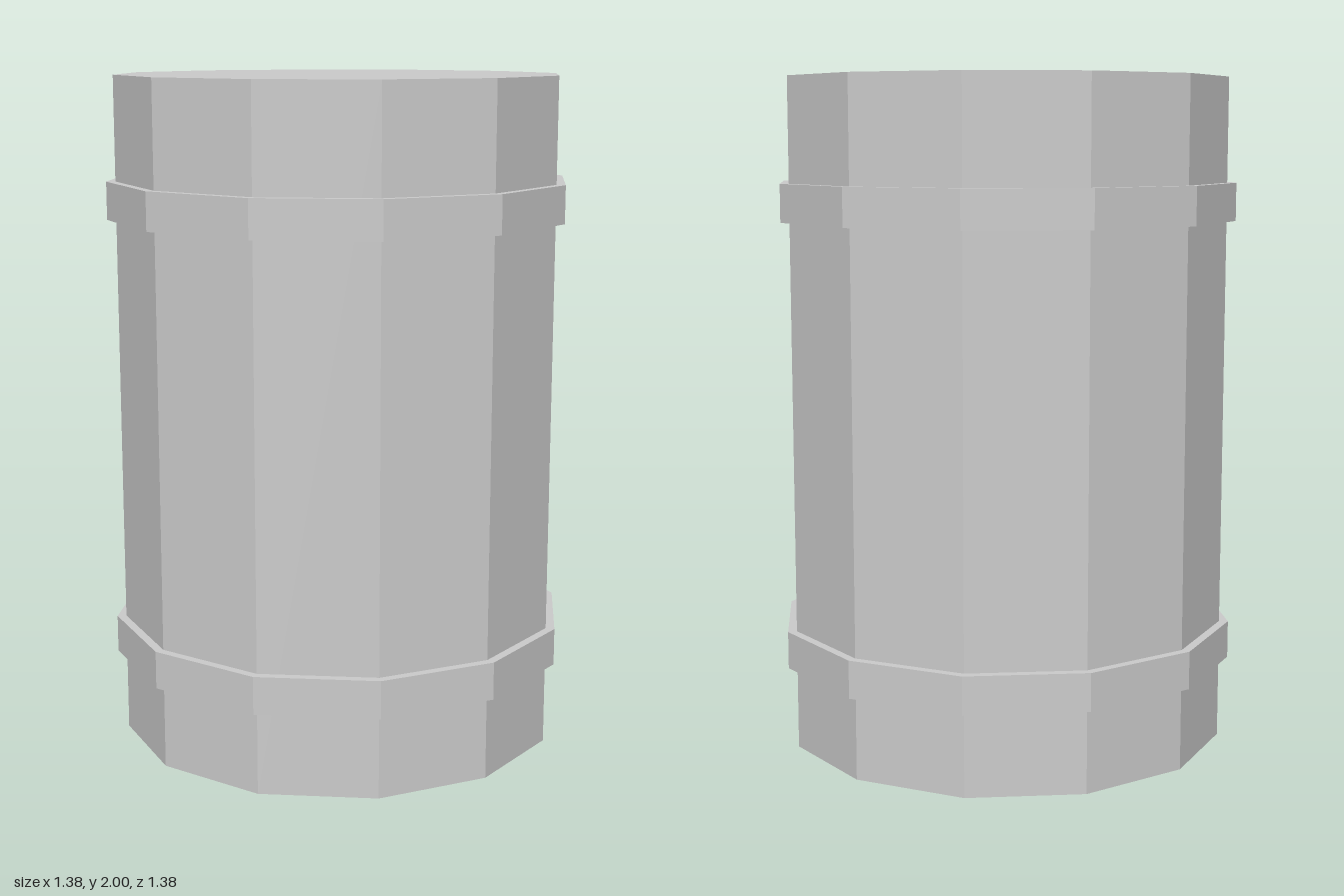
import * as THREE from 'three';

const SIDES = 12;

export function createModel() {
  const group = new THREE.Group();
  group.name = 'barrel';
  const material = new THREE.MeshStandardMaterial({ color: 0xcccccc, flatShading: true });

  // Upright twelve-sided drum, corners on the x and z axes
  const addDrum = (name, radius, height, y) => {
    const mesh = new THREE.Mesh(new THREE.CylinderGeometry(radius, radius, height, SIDES), material);
    mesh.name = name;
    mesh.position.y = y;
    group.add(mesh);
  };

  // Body with flat top and bottom
  addDrum('body', 0.665, 2, 1);

  // Raised hoops around the body
  addDrum('lowerHoop', 0.692, 0.112, 0.304);
  addDrum('upperHoop', 0.692, 0.112, 1.636);

  return group;
}
